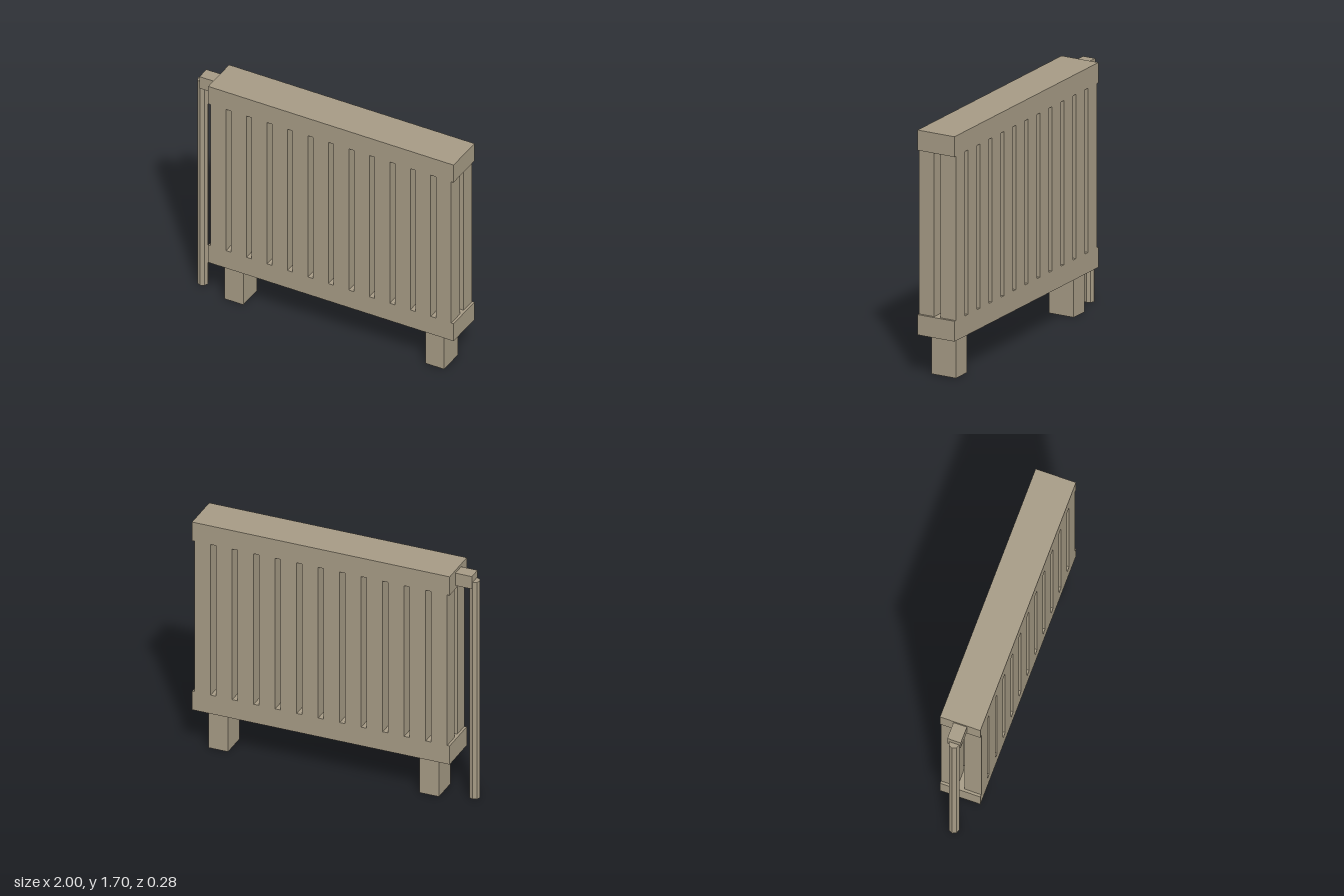
import * as THREE from 'three';

export function createModel() {
  const group = new THREE.Group();
  group.name = 'radiator';
  const material = new THREE.MeshStandardMaterial({ color: 0xa59a84, flatShading: true });

  function add(name, geometry, x, y, z) {
    const mesh = new THREE.Mesh(geometry, material);
    mesh.name = name;
    mesh.position.set(x, y, z);
    group.add(mesh);
  }
  // Box given by its extents on each axis
  function box(name, x0, x1, y0, y1, z0, z1) {
    add(name, new THREE.BoxGeometry(x1 - x0, y1 - y0, z1 - z0),
      (x0 + x1) / 2, (y0 + y1) / 2, (z0 + z1) / 2);
  }

  const left = -0.845, right = 1, centre = (left + right) / 2;
  const depth = 0.141, gap = 0.025;

  // Header and footer rails
  box('topRail', left, right, 1.562, 1.702, -depth, depth);
  box('bottomRail', left, right, 0.288, 0.428, -depth, depth);

  // Two rows of upright fins with an open gap between them
  const fins = 12, pitch = 0.154, half = 0.058;
  for (let i = 0; i < fins; i++) {
    const x = centre + (i - (fins - 1) / 2) * pitch;
    box('frontFin', x - half, x + half, 0.428, 1.562, gap, depth);
    box('backFin', x - half, x + half, 0.428, 1.562, -depth, -gap);
  }

  // Feet
  for (const side of [-1, 1]) {
    const x = centre + side * 0.755;
    box('foot', x - 0.07, x + 0.07, 0, 0.288, -0.094, 0.094);
  }

  // Supply pipe and its connector
  box('pipeConnector', -0.963, left, 1.588, 1.682, -0.047, 0.047);
  add('supplyPipe', new THREE.CylinderGeometry(0.037, 0.037, 1.633, 8), -0.963, 1.633 / 2, 0);

  return group;
}
